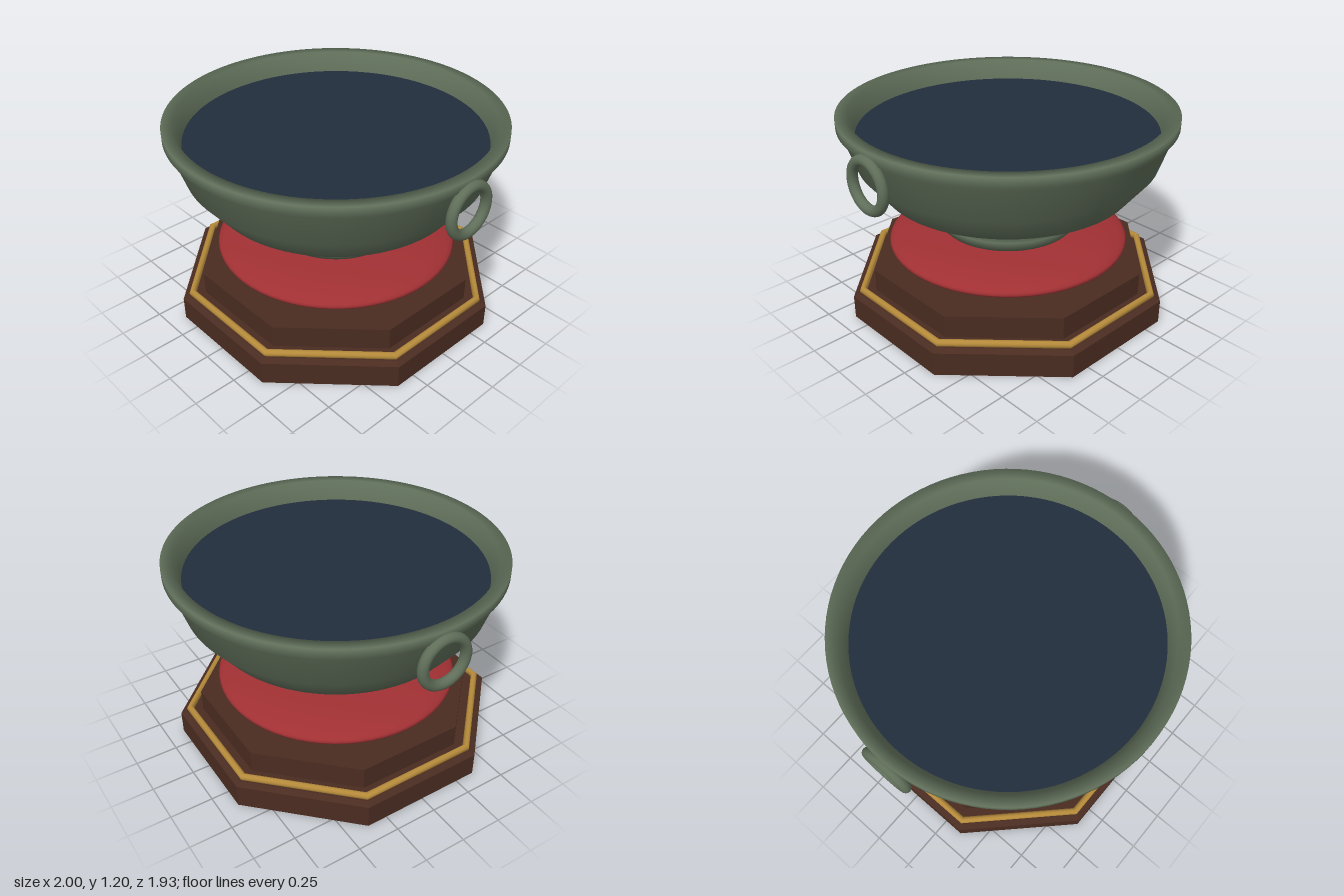
import * as THREE from 'three';

const material = (name, color, extra = {}) => {
  const m = new THREE.MeshStandardMaterial({ color, ...extra });
  m.name = name;
  return m;
};

export function createModel() {
  const group = new THREE.Group();
  const bronze = material('patinated bronze', 0x5f6e59);
  const wood = material('dark wood', 0x4a2c21);
  const gold = material('gold', 0xb58a3a);
  const red = material('red fabric', 0xa03033);
  const water = material('dark interior', 0x222e3e);

  const add = (name, geometry, mat, y = 0) => {
    const mesh = new THREE.Mesh(geometry, mat);
    mesh.name = name;
    mesh.position.y = y;
    group.add(mesh);
    return mesh;
  };

  // Octagonal slab with flat sides facing the axes; sizes are centre-to-side distances
  const toCorner = 1 / Math.cos(Math.PI / 8);
  const slab = (name, top, bottom, y0, y1) => {
    const g = new THREE.CylinderGeometry(top * toCorner, bottom * toCorner, y1 - y0, 8, 1, false, Math.PI / 8);
    const flat = g.toNonIndexed();
    flat.computeVertexNormals();
    add(name, flat, wood, (y0 + y1) / 2);
  };

  // Stepped wooden stand
  slab('standBase', 0.895, 0.895, 0, 0.14);
  slab('standBevel', 0.863, 0.895, 0.14, 0.155);
  slab('standStep', 0.77, 0.77, 0.155, 0.29);

  // Gold moulding around the step
  const trim = new THREE.TorusGeometry(0.84 * toCorner, 0.021, 12, 8);
  trim.rotateZ(Math.PI / 8).rotateX(Math.PI / 2);
  add('goldTrim', trim, gold, 0.17);

  // Cushion
  const cushion = new THREE.SphereGeometry(1, 64, 24);
  cushion.scale(0.715, 0.098, 0.715);
  add('cushion', cushion, red, 0.388);

  // Bowl: foot, belly, rim and inner lip in one turned profile
  const profile = [
    [0, 0.48], [0.4, 0.48], [0.425, 0.543], [0.37, 0.585], [0.51, 0.625],
    [0.735, 0.745], [0.87, 0.915], [0.937, 1.115], [0.967, 1.145],
    [0.967, 1.2], [0.9, 1.2], [0.86, 1.06],
  ].map(([r, y]) => new THREE.Vector2(r, y));
  add('bowl', new THREE.LatheGeometry(profile, 96), bronze);

  // Dark surface filling the bowl
  const surface = new THREE.CircleGeometry(0.866, 96);
  surface.rotateX(-Math.PI / 2);
  add('bowlSurface', surface, water, 1.08);

  // Ring handles
  for (const side of [1, -1]) {
    const ring = new THREE.TorusGeometry(0.135, 0.03, 16, 48);
    ring.rotateY(Math.PI / 2);
    const mesh = add(side > 0 ? 'leftRingHandle' : 'rightRingHandle', ring, bronze, 1.015);
    mesh.position.x = side * 0.97;
  }

  return group;
}
